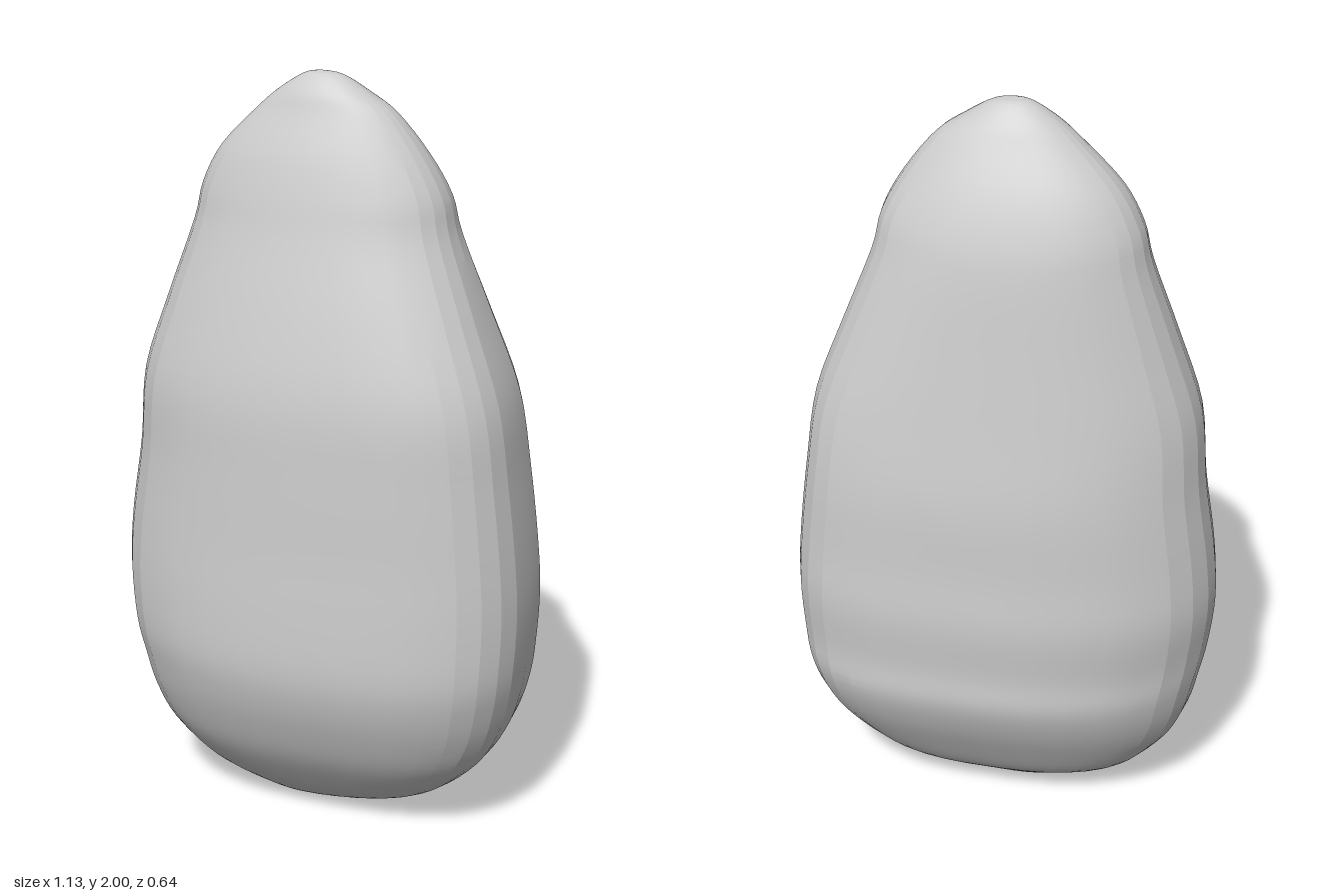
import * as THREE from 'three';
import { toCreasedNormals } from 'three/addons/utils/BufferGeometryUtils.js';

// Height, then the extent of the stone there: right, left (x), back, front (z)
const SECTIONS = [
  [0, -0.06, -0.06, 0, 0],
  [0.012, -0.14, 0.03, -0.045, 0.045],
  [0.05, -0.25, 0.22, -0.095, 0.10],
  [0.1, -0.36, 0.34, -0.15, 0.145],
  [0.2, -0.455, 0.45, -0.215, 0.22],
  [0.3, -0.505, 0.51, -0.27, 0.27],
  [0.4, -0.53, 0.54, -0.305, 0.305],
  [0.5, -0.55, 0.555, -0.305, 0.32],
  [0.65, -0.565, 0.56, -0.315, 0.315],
  [0.8, -0.555, 0.55, -0.305, 0.305],
  [1.0, -0.525, 0.525, -0.295, 0.295],
  [1.2, -0.505, 0.495, -0.265, 0.28],
  [1.4, -0.44, 0.42, -0.235, 0.235],
  [1.6, -0.37, 0.34, -0.205, 0.18],
  [1.7, -0.345, 0.315, -0.18, 0.155],
  [1.8, -0.29, 0.26, -0.14, 0.125],
  [1.9, -0.19, 0.18, -0.085, 0.085],
  [1.95, -0.13, 0.11, -0.055, 0.065],
  [1.99, -0.065, 0.04, -0.02, 0.035],
  [2, -0.02, -0.02, 0.01, 0.01],
];
const SIDES = 32;
const RINGS = 76;

const spline = (a, b) => new THREE.CatmullRomCurve3(
  SECTIONS.map((s) => new THREE.Vector3(s[a], s[0], s[b])), false, 'catmullrom', 0.5);

// Rounded-box power curve: larger n is squarer
const power = (v, n) => Math.sign(v) * Math.abs(v) ** (2 / n);

function stoneGeometry() {
  const widths = spline(1, 2);
  const depths = spline(3, 4);
  const positions = [];
  const indices = [];
  for (let i = 0; i <= RINGS; i++) {
    const w = widths.getPoint(i / RINGS);
    const d = depths.getPoint(i / RINGS);
    // The left flank is squarer than the right, fading towards the tip
    const square = 1 - THREE.MathUtils.smoothstep(w.y, 1.1, 1.9);
    for (let j = 0; j < SIDES; j++) {
      const t = (j / SIDES) * Math.PI * 2;
      const c = Math.cos(t), s = Math.sin(t);
      const n = c > 0 ? 2.1 + square * (s > 0 ? 0.75 : 1.0) : 2.1;
      positions.push(
        (w.x + w.z) / 2 + power(c, n) * (w.z - w.x) / 2,
        THREE.MathUtils.clamp(w.y, 0, 2),
        (d.x + d.z) / 2 + power(s, n) * (d.z - d.x) / 2);
      if (i === RINGS) continue;
      const a = i * SIDES + j;
      const b = i * SIDES + (j + 1) % SIDES;
      // Single triangles where the rings close to a point
      if (i > 0) indices.push(a, a + SIDES, b);
      if (i < RINGS - 1) indices.push(b, a + SIDES, b + SIDES);
    }
  }
  // Bottom fan uses the triangles whose base lies on the second ring
  const geometry = new THREE.BufferGeometry();
  geometry.setAttribute('position', new THREE.Float32BufferAttribute(positions, 3));
  geometry.setIndex(indices);
  return toCreasedNormals(geometry, 0.2);
}

export function createModel() {
  const group = new THREE.Group();
  group.name = 'stone';
  const body = new THREE.Mesh(stoneGeometry(), new THREE.MeshStandardMaterial({ color: 0xcccccc }));
  body.name = 'stoneBody';
  group.add(body);
  return group;
}
